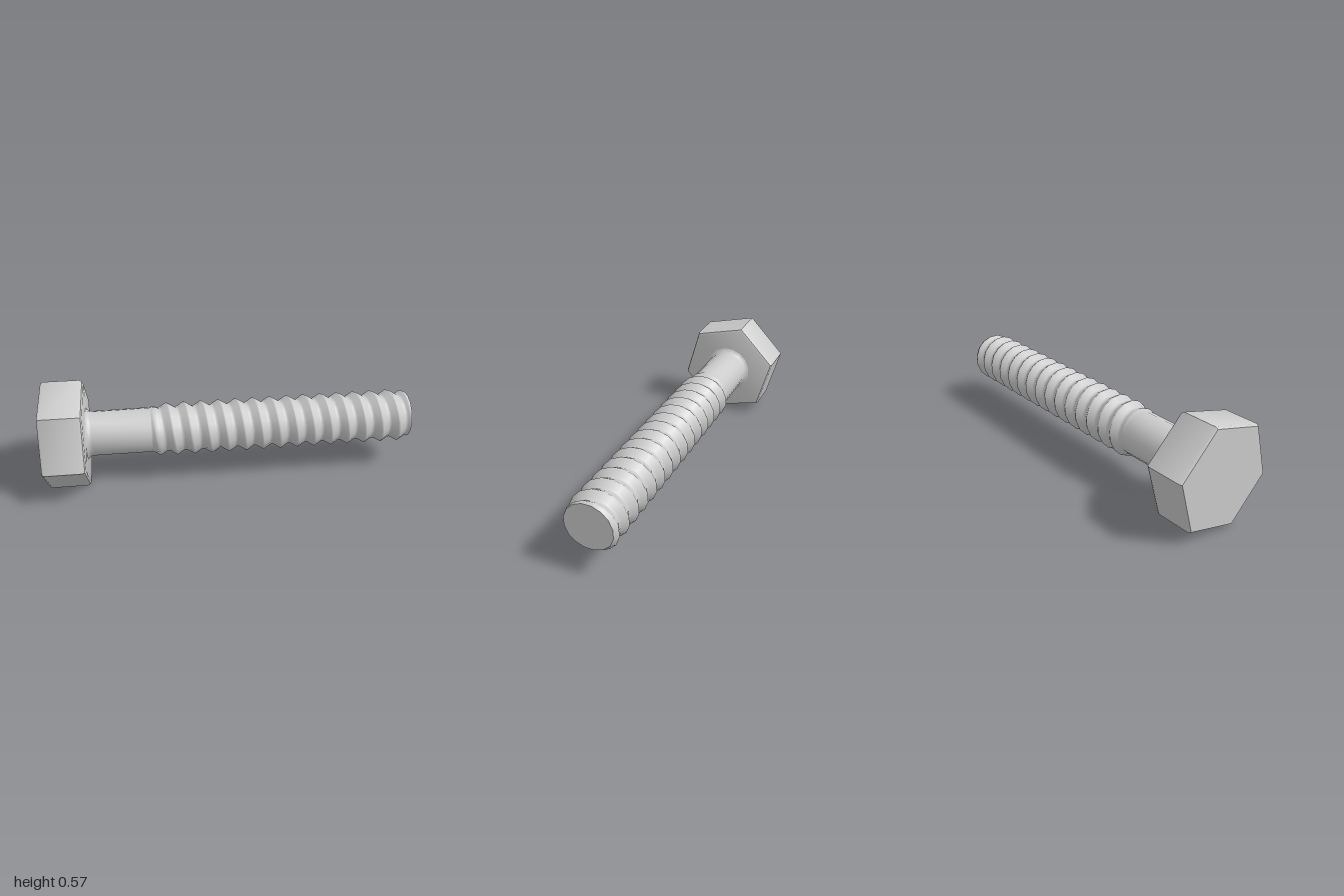
import * as THREE from 'three';
import { toCreasedNormals } from 'three/addons/utils/BufferGeometryUtils.js';

const AXIS_Y = 0.284;      // height of the bolt axis
const SIDES = 16;          // sides of the shank
const ROOT = 0.121, CREST = 0.146, PITCH = 0.0953;
const CREST_X = -0.334;    // a crest on the top line of the shank
const ramp = (x, a, b) => THREE.MathUtils.clamp((x - a) / (b - a), 0, 1);

// Radius of the threaded part at distance x and turn (0..1, from +y towards +z)
function threadRadius(x, turn) {
  const phase = (x - CREST_X) / PITCH - turn;
  const distance = Math.abs(phase - Math.round(phase));
  const height = Math.max(0, 1 - distance / 0.4375) * ramp(x, -0.44, -0.385);
  const endLimit = THREE.MathUtils.lerp(CREST, 0.128, ramp(x, 0.965, 1));
  return Math.min(ROOT + (CREST - ROOT) * height, endLimit);
}

function meshData(positions, index) {
  const geometry = new THREE.BufferGeometry();
  geometry.setAttribute('position', new THREE.Float32BufferAttribute(positions, 3));
  geometry.setIndex(index);
  geometry.computeVertexNormals();
  return geometry;
}

export function createModel() {
  const bolt = new THREE.Group();
  bolt.name = 'bolt';
  const material = new THREE.MeshStandardMaterial({ color: 0xcccccc });
  const add = (name, geometry) => {
    const mesh = new THREE.Mesh(geometry, material);
    mesh.name = name;
    mesh.position.y = AXIS_Y;
    bolt.add(mesh);
  };

  // Hexagonal head with chamfered rims
  const profile = [[0, -1], [0.286, -1], [0.295, -0.988], [0.295, -0.797], [0.288, -0.783],
    [0.274, -0.776], [0, -0.776]].map(([r, h]) => new THREE.Vector2(r, h));
  const head = new THREE.LatheGeometry(profile, 6, THREE.MathUtils.degToRad(14.2));
  head.rotateZ(-Math.PI / 2);
  add('hexHead', toCreasedNormals(head, 0.6));

  // Shank rows: fillet under the head, plain neck, then rows in step with the helix
  const rows = [[-0.778, 0.145], [-0.771, 0.132], [-0.76, 0.124], [-0.745, ROOT]];
  for (let k = -17; ; k++) {
    const x = Math.min(1, CREST_X + PITCH * (k + 0.5) / SIDES);
    rows.push([x, null]);
    if (x === 1) break;
  }
  const positions = [], index = [];
  rows.forEach(([x, fixed], i) => {
    for (let j = 0; j < SIDES; j++) {
      const turn = (j + 0.5) / SIDES, angle = turn * Math.PI * 2;
      const r = fixed ?? threadRadius(x, turn);
      positions.push(x, r * Math.cos(angle), r * Math.sin(angle));
      if (i === rows.length - 1) continue;
      const next = (j + 1) % SIDES;
      const a = i * SIDES + j, b = i * SIDES + next, c = a + SIDES, d = b + SIDES;
      index.push(a, b, d, a, d, c);
    }
  });
  add('threadedShank', meshData(positions, index));

  // Flat end closing the last ring of the shank
  const capPositions = [1, 0, 0, ...positions.slice(-SIDES * 3)], capIndex = [];
  for (let j = 0; j < SIDES; j++) capIndex.push(0, 1 + j, 1 + (j + 1) % SIDES);
  add('shankEnd', meshData(capPositions, capIndex));

  return bolt;
}
